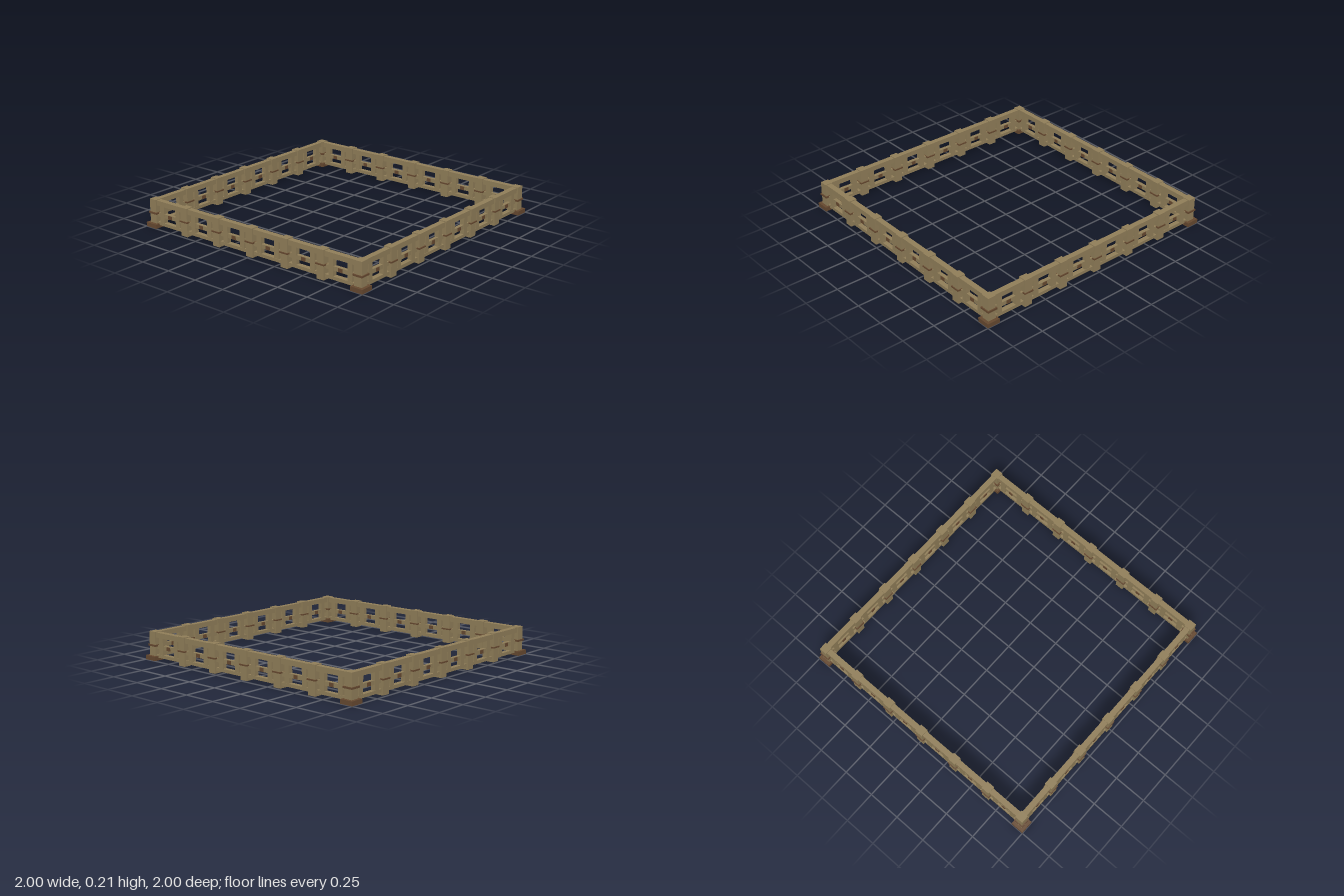
import * as THREE from 'three';

export function createModel() {
  const model = new THREE.Group();
  model.name = 'squareFence';
  const wood = new THREE.MeshStandardMaterial({ name: 'weatheredWood', color: 0x8f7d58 });
  const dark = new THREE.MeshStandardMaterial({ name: 'darkWood', color: 0x65482f });

  const R = 0.947; // distance of each fence line from the centre
  const STEP = 0.316; // spacing of posts

  function box(parent, name, mat, w, d, y0, y1, x = 0, z = 0) {
    const mesh = new THREE.Mesh(new THREE.BoxGeometry(w, y1 - y0, d), mat);
    mesh.name = name;
    mesh.position.set(x, (y0 + y1) / 2, z);
    parent.add(mesh);
  }

  // One straight side along x, repeated around the square
  function fenceSide(index) {
    const side = new THREE.Group();
    side.name = 'fenceSide' + index;
    const length = 2 * R - 0.04;
    box(side, 'topRail', wood, length, 0.042, 0.17, 0.208, 0, R);
    box(side, 'middleRail', wood, length, 0.026, 0.083, 0.114, 0, R);
    box(side, 'bottomRail', wood, length, 0.036, 0.02, 0.044, 0, R);

    // Intermediate posts with a thin binding
    for (let i = -2; i <= 2; i++) {
      box(side, 'post', wood, 0.062, 0.062, 0, 0.214, i * STEP, R);
      box(side, 'postBand', dark, 0.074, 0.074, 0.104, 0.114, i * STEP, R);
    }

    // Each bay has two slats and a peg between them
    for (let i = 0; i < 6; i++) {
      const x = (i - 2.5) * STEP;
      for (const s of [-1, 1]) {
        box(side, 'slat', wood, 0.04, 0.034, 0.036, 0.172, x + s * STEP / 4, R);
      }
      box(side, 'peg', dark, 0.034, 0.036, 0.085, 0.112, x, R);
    }

    // Corner post at the end of this side
    box(side, 'cornerBase', dark, 0.1, 0.1, 0, 0.032, 0.95, 0.95);
    box(side, 'cornerPost', wood, 0.062, 0.062, 0.03, 0.212, R, R);
    box(side, 'cornerBand', dark, 0.078, 0.078, 0.103, 0.116, R, R);

    side.rotation.y = index * Math.PI / 2;
    model.add(side);
  }

  for (let k = 0; k < 4; k++) fenceSide(k);
  return model;
}
